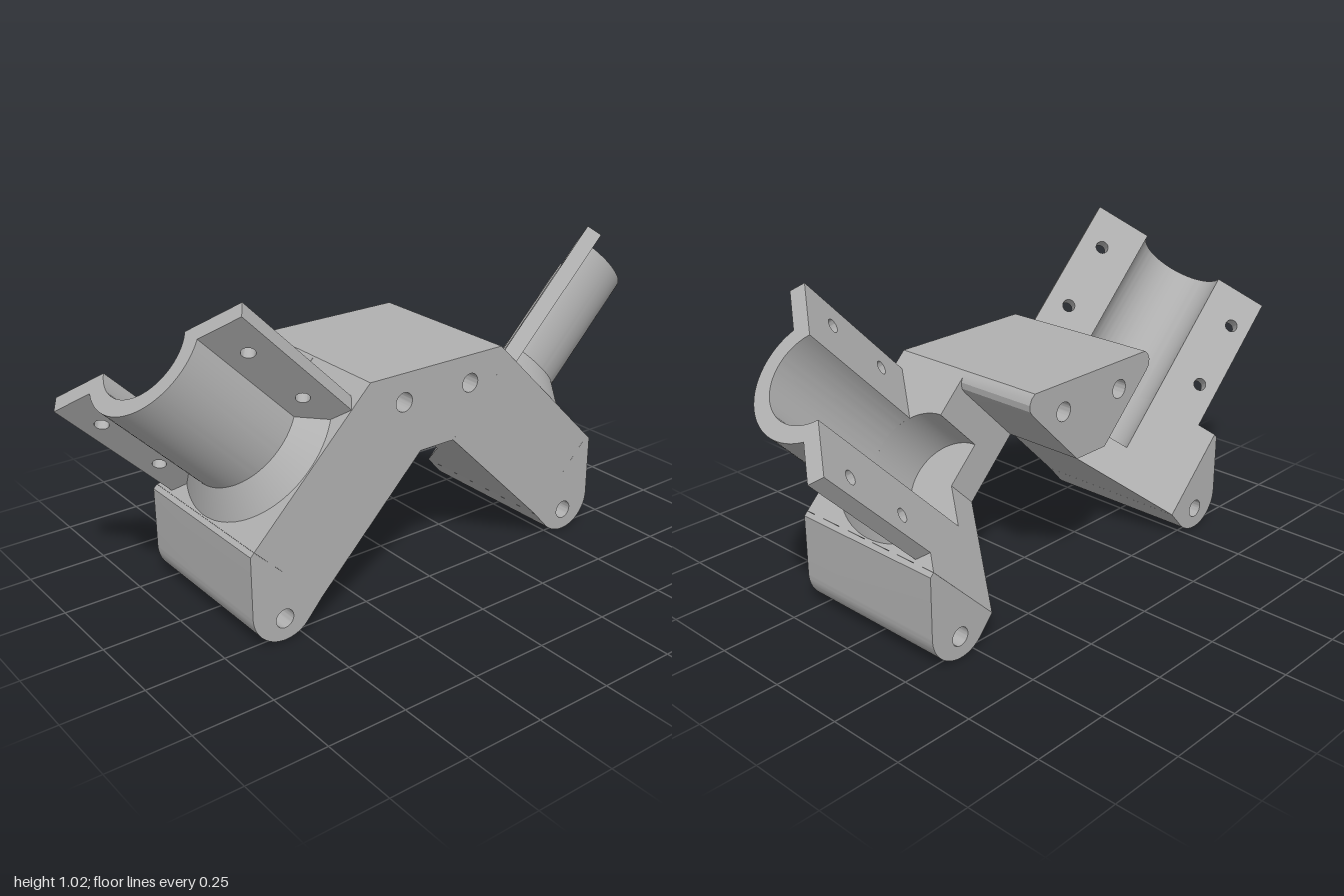
import * as THREE from 'three';
import { toCreasedNormals } from 'three/addons/utils/BufferGeometryUtils.js';

const R2 = Math.SQRT1_2, DEPTH = 0.275;
const AXIS = -0.035;              // bore axis offset across the arm
const BORE = 0.145, OUTER = 0.197; // half-pipe radii
const UNDER = 0.37, FLOOR = 0.49, FACE = 0.686, TIP = 1.174; // stations along the bore axis

function polygon(points) {
  return new THREE.Shape(points.map(p => new THREE.Vector2(p[0], p[1])));
}

function arc(cx, cy, r, a0, a1, n = 32) {
  return Array.from({ length: n + 1 }, (_, i) => {
    const a = a0 + (a1 - a0) * i / n;
    return [cx + r * Math.cos(a), cy + r * Math.sin(a)];
  });
}

function drill(shape, x, y, r) {
  const hole = new THREE.Path();
  hole.absarc(x, y, r, 0, Math.PI * 2, true);
  shape.holes.push(hole);
}

function extrude(shape, from, to) {
  const g = new THREE.ExtrudeGeometry(shape, { depth: to - from, bevelEnabled: false, curveSegments: 24 });
  return g.translate(0, 0, from);
}

// Cross-section given as [across, z], extruded along the bore axis (local y)
function alongAxis(points, from, to) {
  return extrude(polygon(points.map(([s, z]) => [s, -z])), from, to).rotateX(-Math.PI / 2);
}

// Mirror across x and restore the corner order
function mirrored(geometry) {
  const g = geometry.clone().scale(-1, 1, 1);
  for (const name of ['position', 'normal']) {
    const a = g.attributes[name], v = new THREE.Vector3(), w = new THREE.Vector3();
    for (let i = 0; i < a.count; i += 3) {
      v.fromBufferAttribute(a, i + 1);
      w.fromBufferAttribute(a, i + 2);
      a.setXYZ(i + 1, w.x, w.y, w.z);
      a.setXYZ(i + 2, v.x, v.y, v.z);
    }
  }
  return g;
}

export function createModel() {
  const model = new THREE.Group();
  model.name = 'twinPipeBracket';
  const grey = new THREE.MeshStandardMaterial({ color: 0xb0b0b0 });
  grey.name = 'grey';

  const add = (name, geometry) => {
    const mesh = new THREE.Mesh(geometry, grey);
    mesh.name = name;
    model.add(mesh);
  };
  const addPair = (name, geometry) => {
    const g = toCreasedNormals(geometry, 0.5);
    add(name + 'Left', g);
    add(name + 'Right', mirrored(g));
  };

  // Central bridge: sharp shoulders in front, rounded ones behind
  const front = [[0.064, 0.46], [0.287, 0.683], [0.25, 0.72]];
  const back = [[0.064, 0.46], [0.258, 0.654], [0.27, 0.67], [0.272, 0.69], [0.264, 0.708], [0.25, 0.72]];
  for (const [name, half, z0, z1] of [['bridgeFront', front, 0, DEPTH], ['bridgeBack', back, -DEPTH, 0]]) {
    const shape = polygon([...half, ...half.slice().reverse().map(([x, y]) => [-x, y])]);
    for (const x of [-0.127, 0.127]) drill(shape, x, 0.63, 0.03);
    add(name, toCreasedNormals(extrude(shape, z0, z1), 0.5));
  }

  // Rounded feet with bolt holes
  const foot = polygon([
    [0.431, 0.092], ...arc(0.56, 0.107, 0.107, -Math.PI * 0.75, 0), [0.667, 0.303], [0.655, 0.315],
  ]);
  drill(foot, 0.56, 0.07, 0.03);
  addPair('foot', extrude(foot, -DEPTH, DEPTH));

  // Local frame: x across the arm, y along the bore, z unchanged
  const frame = new THREE.Matrix4().makeBasis(
    new THREE.Vector3(R2, -R2, 0), new THREE.Vector3(R2, R2, 0), new THREE.Vector3(0, 0, 1));
  frame.multiply(new THREE.Matrix4().makeTranslation(AXIS, 0, 0));
  const addTilted = (name, geometry) => addPair(name, geometry.applyMatrix4(frame));

  // Arm: solid underside, then a layer holding the bore pocket
  const inner = -0.28 - AXIS, outer = DEPTH;
  const rim = [[inner, 0], [inner, DEPTH], [outer, DEPTH], [outer, -DEPTH]];
  addTilted('armBase', alongAxis([...rim, [0, 0]], UNDER, FLOOR));
  addTilted('armSocket', alongAxis([...rim, ...arc(0, 0, BORE, -Math.PI / 4, Math.PI)], FLOOR, FACE));

  // Half-pipe, split at 45 degrees
  const a0 = -Math.PI / 4, a1 = Math.PI * 0.75;
  addTilted('halfPipe', alongAxis(
    [...arc(0, 0, OUTER, a0, a1, 48), ...arc(0, 0, BORE, a1, a0, 48)], FACE, TIP));

  // Conical collar at the pipe root
  addTilted('collar', new THREE.LatheGeometry(
    [new THREE.Vector2(0.27, FACE), new THREE.Vector2(OUTER, 0.758)], 48, -Math.PI / 4, Math.PI));

  // Bolt flanges on both edges of the half-pipe
  for (const [name, side, reach] of [['frontFlange', 1, 0.338], ['backFlange', -1, 0.325]]) {
    const u0 = Math.min(side * 0.19, side * reach), u1 = Math.max(side * 0.19, side * reach);
    const plate = polygon([[u0, FACE], [u1, FACE], [u1, TIP], [u0, TIP]]);
    for (const t of [0.812, 1.052]) drill(plate, side * 0.262, t, 0.021);
    addTilted(name, extrude(plate, -0.05, 0).rotateY(-Math.PI * 0.75));
  }
  return model;
}
